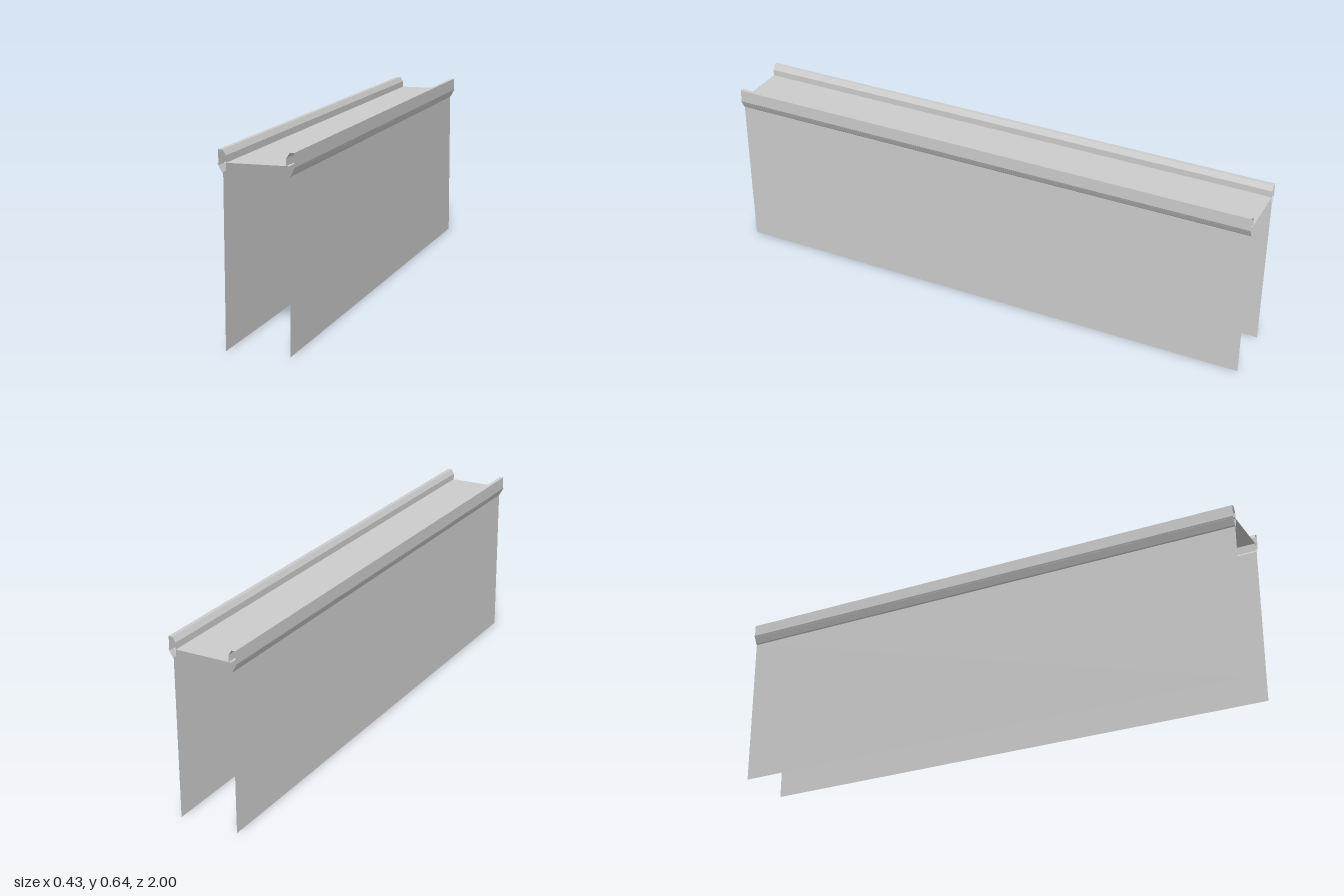
import * as THREE from 'three';

const HALF_LENGTH = 0.993;
const YAW = 0.0882;

const material = new THREE.MeshStandardMaterial({
  color: 0xcccccc, flatShading: true, side: THREE.DoubleSide,
});

// Sweeps an open cross-section of [x, y] points along z, with hard edges
function sweep(name, points) {
  const positions = [];
  for (let i = 0; i < points.length - 1; i++) {
    const [x0, y0] = points[i];
    const [x1, y1] = points[i + 1];
    const a = [x0, y0, -HALF_LENGTH], b = [x1, y1, -HALF_LENGTH];
    const c = [x1, y1, HALF_LENGTH], d = [x0, y0, HALF_LENGTH];
    positions.push(...a, ...b, ...c, ...a, ...c, ...d);
  }
  const geometry = new THREE.BufferGeometry();
  geometry.setAttribute('position', new THREE.Float32BufferAttribute(positions, 3));
  geometry.computeVertexNormals();
  const mesh = new THREE.Mesh(geometry, material);
  mesh.name = name;
  return mesh;
}

// Mirrors a cross-section, reversed so its faces still point outward
const mirror = (points) => points.map(([x, y]) => [-x, y]).reverse();

export function createModel() {
  const model = new THREE.Group();
  model.name = 'bridgeSection';

  const sideParts = {
    // Thin side wall, open below and at both ends
    Wall: [[0.1075, 0], [0.1075, 0.57]],
    // Sloping lip under the kerb, standing slightly proud of it
    Lip: [[0.1075, 0.564], [0.111, 0.568], [0.126, 0.596]],
    // Hollow kerb with an upright outer face and a bevelled inner edge
    Kerb: [[0.123, 0.59], [0.123, 0.64], [0.109, 0.64], [0.098, 0.622], [0.098, 0.57]],
  };
  for (const [part, points] of Object.entries(sideParts)) {
    model.add(sweep(`left${part}`, points), sweep(`right${part}`, mirror(points)));
  }

  // Deck runs into both kerbs above their lower edges
  model.add(sweep('deck', [[0.1075, 0.599], [-0.1075, 0.599]]));

  // The whole span stands slightly askew
  model.rotation.y = YAW;
  return model;
}
